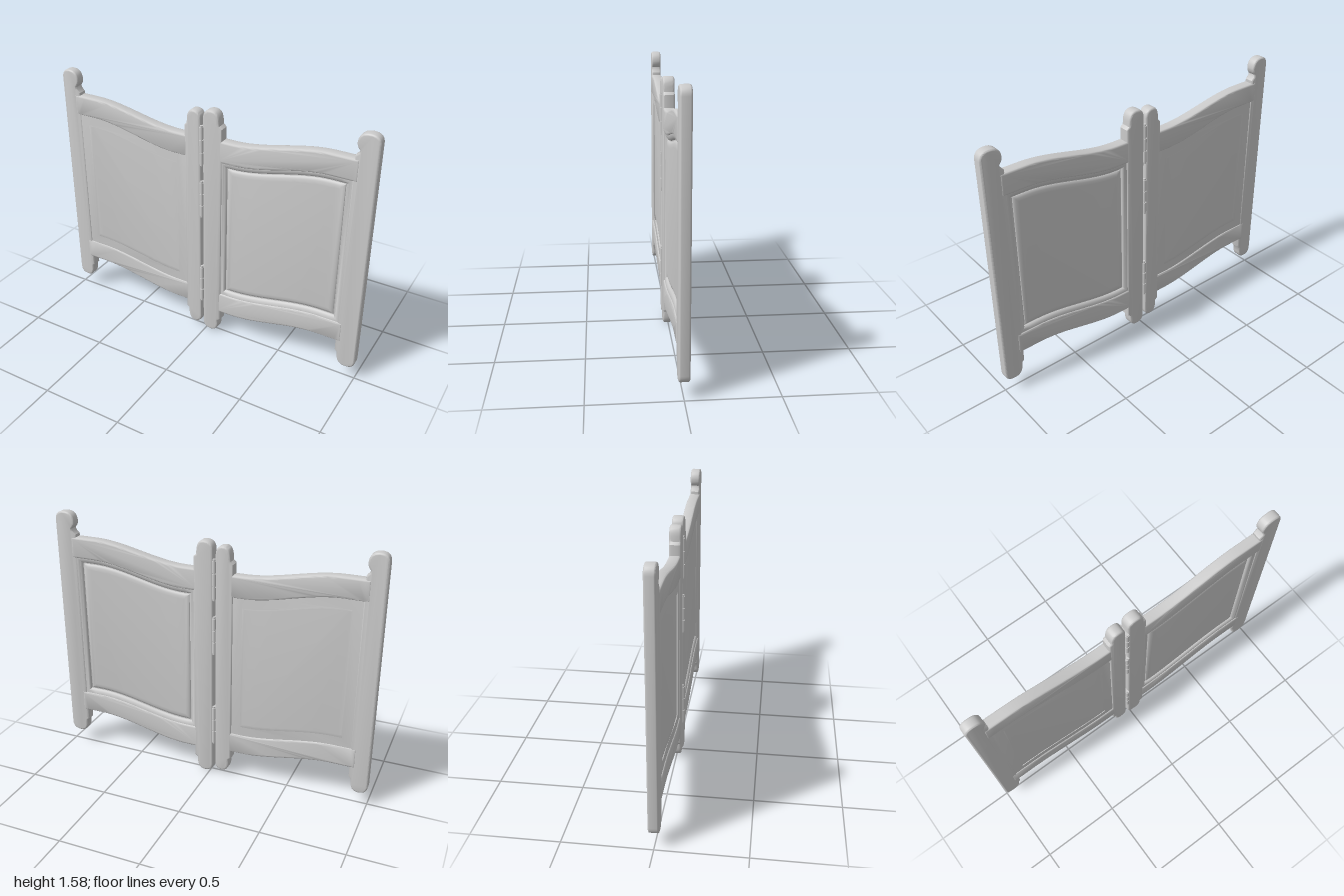
import * as THREE from 'three';
import { toCreasedNormals } from 'three/addons/utils/BufferGeometryUtils.js';

const grey = new THREE.MeshStandardMaterial({ color: 0xcccccc });

function addMesh(parent, name, geometry) {
  const mesh = new THREE.Mesh(geometry, grey);
  mesh.name = name;
  parent.add(mesh);
  return mesh;
}

// Slab centred on z = 0; the bevel cuts inward so the outline keeps its size.
function slab(shape, half, bevel, bevelDepth) {
  const g = new THREE.ExtrudeGeometry(shape, {
    depth: 2 * (half - bevelDepth), bevelEnabled: true, bevelSize: bevel,
    bevelThickness: bevelDepth, bevelOffset: -bevel, bevelSegments: 3, curveSegments: 8,
  });
  g.translate(0, 0, bevelDepth - half);
  return toCreasedNormals(g, 0.7);
}

// Post outline: straight edge at x = edge, shaped edge towards dir.
function postShape({ edge, dir, w, y0, y1, bulb }) {
  const X = (u) => edge + dir * u * w;
  const s = new THREE.Shape();
  s.moveTo(X(0), y0 + 0.05);
  s.lineTo(X(0), y1 - 0.05);
  s.quadraticCurveTo(X(0.02), y1, X(0.45), y1);
  if (bulb) {
    s.quadraticCurveTo(X(0.93), y1, X(0.96), y1 - 0.06);
    s.quadraticCurveTo(X(0.95), y1 - 0.085, X(0.82), y1 - 0.1);
    s.lineTo(X(0.84), y1 - 0.115);
    s.lineTo(X(1), y1 - 0.135);
    s.lineTo(X(1), y0 + 0.1);
    s.lineTo(X(0.9), y0 + 0.085);
    s.lineTo(X(0.87), y0 + 0.05);
  } else {
    s.quadraticCurveTo(X(0.84), y1, X(0.85), y1 - 0.07);
    s.lineTo(X(0.86), y1 - 0.085);
    s.lineTo(X(1), y1 - 0.1);
    s.lineTo(X(1), y0 + 0.1);
    s.lineTo(X(0.86), y0 + 0.085);
    s.lineTo(X(0.85), y0 + 0.06);
  }
  s.quadraticCurveTo(X(0.82), y0, X(0.45), y0);
  s.quadraticCurveTo(X(0.02), y0, X(0), y0 + 0.05);
  return s;
}

// Band between two S-curves, running from the inner post to the outer post.
function bandPoints(gate, low, high, inset, n = 24) {
  const [xi, xo] = gate.span;
  const dir = Math.sign(xo - xi);
  const curve = ([a, b], x) => {
    const t = (x - xi) / (xo - xi);
    return a + (b - a) * THREE.MathUtils.smoothstep(t, 0.08, 0.85);
  };
  const bottom = [], top = [];
  for (let i = 0; i <= n; i++) {
    const x = THREE.MathUtils.lerp(xi + dir * inset, xo - dir * inset, i / n);
    bottom.push(new THREE.Vector2(x, curve(low, x) + Math.max(inset, 0)));
    top.push(new THREE.Vector2(x, curve(high, x) - Math.max(inset, 0)));
  }
  return bottom.concat(top.reverse());
}

function makeGate(gate) {
  const g = new THREE.Group();
  g.name = gate.name;
  const [railLow, openLow, openHigh, railHigh] = gate.curves;

  addMesh(g, 'outerPost', slab(postShape(gate.outer), 0.03, 0.01, 0.01));
  addMesh(g, 'innerPost', slab(postShape(gate.inner), 0.034, 0.012, 0.012));

  // Rails run a little way into both posts
  addMesh(g, 'bottomRail', slab(new THREE.Shape(bandPoints(gate, railLow, openLow, -0.03)), 0.033, 0.012, 0.01));
  addMesh(g, 'topRail', slab(new THREE.Shape(bandPoints(gate, openHigh, railHigh, -0.03)), 0.033, 0.012, 0.01));

  // Sloped moulding around the opening
  const shift = (pair, d) => pair.map((y) => y + d);
  const ring = new THREE.Shape(
    bandPoints(gate, shift(openLow, -0.05), shift(openHigh, 0.05), -0.05));
  ring.holes.push(new THREE.Path(bandPoints(gate, openLow, openHigh, 0.03)));
  addMesh(g, 'moulding', slab(ring, 0.026, 0.028, 0.02));

  // Panel: thin sheet with a raised field on both sides
  addMesh(g, 'panelSheet', slab(new THREE.Shape(bandPoints(gate, openLow, openHigh, 0)), 0.007, 0.002, 0.002));
  addMesh(g, 'raisedField', slab(new THREE.Shape(bandPoints(gate, openLow, openHigh, 0.034)), 0.018, 0.035, 0.013));
  return g;
}

// Hinge: leaf in the gap with a three-knuckle barrel on each face
function makeHinge(y0, y1) {
  const g = new THREE.Group();
  g.name = 'hinge';
  const h = y1 - y0;
  addMesh(g, 'hingeLeaf', new THREE.BoxGeometry(0.014, h * 0.94, 0.064));
  for (const z of [-0.031, 0.031]) {
    addMesh(g, 'hingePin', new THREE.CylinderGeometry(0.008, 0.008, h, 10)).position.z = z;
    for (const k of [-1, 0, 1]) {
      const knuckle = addMesh(g, 'knuckle', new THREE.CylinderGeometry(0.012, 0.012, h * 0.28, 12));
      knuckle.position.set(0, k * h * 0.315, z);
    }
  }
  g.position.set(-0.027, (y0 + y1) / 2, 0);
  return g;
}

export function createModel() {
  const model = new THREE.Group();
  model.name = 'doubleGate';
  // Curves list [height at inner post, height at outer post]
  const leaves = new THREE.Group();
  leaves.name = 'gateLeaves';
  leaves.add(makeGate({
    name: 'rightLeaf',
    span: [-0.14, -0.885],
    curves: [[0.175, 0.25], [0.305, 0.375], [1.195, 1.285], [1.328, 1.408]],
    outer: { edge: -1, dir: 1, w: 0.118, y0: 0.085, y1: 1.56, bulb: true },
    inner: { edge: -0.035, dir: -1, w: 0.107, y0: 0.025, y1: 1.49, bulb: false },
  }));
  leaves.add(makeGate({
    name: 'leftLeaf',
    span: [0.1, 0.87],
    curves: [[0.16, 0.255], [0.3, 0.385], [1.205, 1.3], [1.338, 1.428]],
    outer: { edge: 1, dir: -1, w: 0.13, y0: 0.085, y1: 1.58, bulb: true },
    inner: { edge: -0.02, dir: 1, w: 0.122, y0: 0, y1: 1.51, bulb: false },
  }));
  leaves.position.z = -0.002;
  model.add(leaves);

  for (const [y0, y1] of [[0.21, 0.47], [0.82, 1.06], [1.16, 1.41]]) model.add(makeHinge(y0, y1));
  return model;
}
